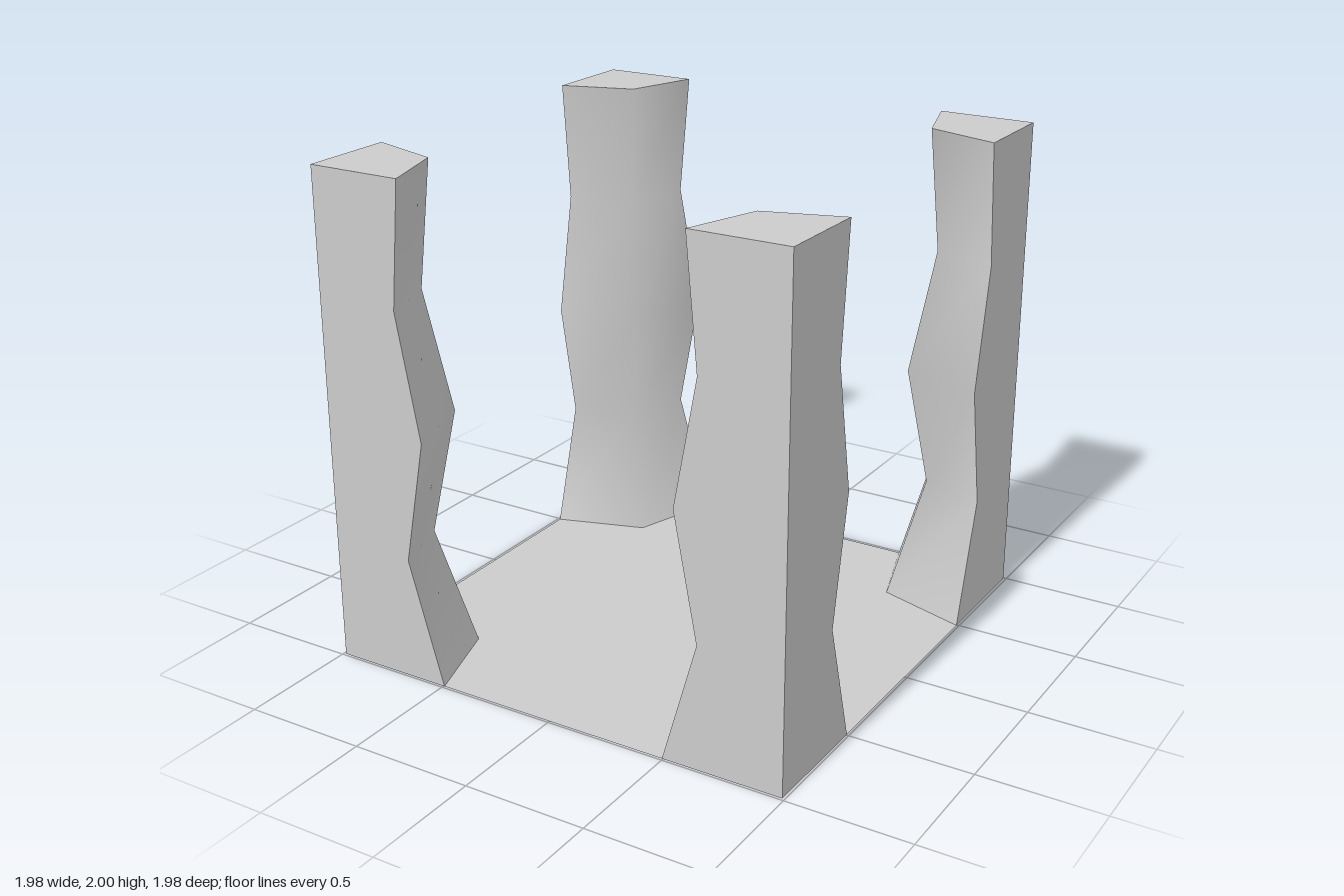
import * as THREE from 'three';
import { toCreasedNormals } from 'three/addons/utils/BufferGeometryUtils.js';

const HALF = 0.99; // half width of the square footprint

// [height, where the outer faces end, inner ridge position] for each level
const LEVELS = [
  [0, 0.495, 0.615],
  [0.5, 0.64, 0.725],
  [1, 0.545, 0.652],
  [1.5, 0.64, 0.725],
  [2, 0.595, 0.69],
];

// Kite-shaped cross-sections joined into one corner pillar
function pillarGeometry() {
  const positions = [];
  const index = [];
  for (const [y, edge, ridge] of LEVELS) {
    positions.push(HALF, y, HALF, HALF, y, edge, ridge, y, ridge, edge, y, HALF);
  }
  for (let level = 0; level < LEVELS.length - 1; level++) {
    for (let side = 0; side < 4; side++) {
      const a = level * 4 + side;
      const b = level * 4 + ((side + 1) % 4);
      index.push(a, b, b + 4, a, b + 4, a + 4);
    }
  }
  // Top cap; the floor closes the bottom
  const t = (LEVELS.length - 1) * 4;
  index.push(t, t + 1, t + 2, t, t + 2, t + 3);

  const geometry = new THREE.BufferGeometry();
  geometry.setAttribute('position', new THREE.Float32BufferAttribute(positions, 3));
  geometry.setIndex(index);
  // Inner walls blend smoothly, outer corners and top stay sharp
  return toCreasedNormals(geometry, 1.2);
}

export function createModel() {
  const model = new THREE.Group();
  model.name = 'cornerPillars';

  // Thin square floor
  const floor = new THREE.Mesh(
    new THREE.PlaneGeometry(HALF * 2, HALF * 2).rotateX(-Math.PI / 2),
    new THREE.MeshStandardMaterial({ color: 0xcccccc, side: THREE.DoubleSide })
  );
  floor.name = 'floor';
  model.add(floor);

  // Four pillars, a quarter turn apart
  const geometry = pillarGeometry();
  const material = new THREE.MeshStandardMaterial({ color: 0xcccccc });
  const names = ['frontLeftPillar', 'backLeftPillar', 'backRightPillar', 'frontRightPillar'];
  names.forEach((name, i) => {
    const pillar = new THREE.Mesh(geometry, material);
    pillar.name = name;
    pillar.rotation.y = (i * Math.PI) / 2;
    model.add(pillar);
  });

  return model;
}
